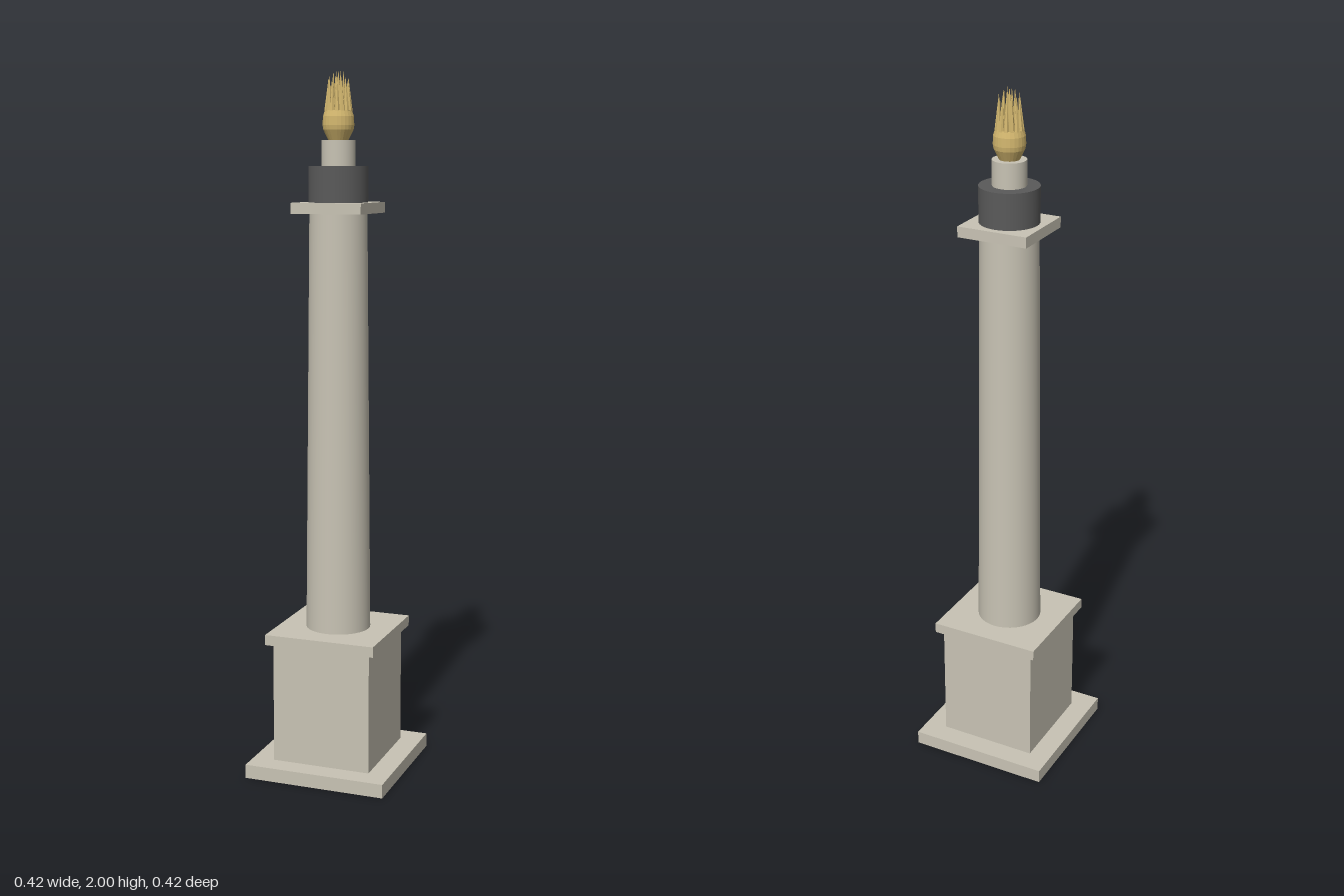
import * as THREE from 'three';

export function createModel() {
  const model = new THREE.Group();
  model.name = 'monumentColumn';

  const material = (name, color, flatShading = false) => {
    const m = new THREE.MeshStandardMaterial({ color, flatShading });
    m.name = name;
    return m;
  };
  const stone = material('pale stone', 0xc8c3b4);
  const dark = material('dark metal', 0x5a5a5a);
  const gold = material('gilded bronze', 0xd2b66e, true);

  const add = (name, geometry, mat, y = 0, parent = model) => {
    const mesh = new THREE.Mesh(geometry, mat);
    mesh.name = name;
    mesh.position.y = y;
    parent.add(mesh);
    return mesh;
  };
  const slab = (name, width, y0, y1) =>
    add(name, new THREE.BoxGeometry(width, y1 - y0, width), stone, (y0 + y1) / 2);
  const drum = (name, rTop, rBottom, y0, y1, mat) =>
    add(name, new THREE.CylinderGeometry(rTop, rBottom, y1 - y0, 48), mat, (y0 + y1) / 2);

  // Square pedestal
  slab('plinth', 0.416, 0, 0.04);
  slab('pedestal', 0.29, 0.04, 0.39);
  slab('pedestalCornice', 0.326, 0.39, 0.42);

  // Tapered shaft, capital and lantern drum
  drum('shaft', 0.081, 0.093, 0.42, 1.61, stone);
  slab('capital', 0.205, 1.61, 1.64);
  drum('darkDrum', 0.083, 0.083, 1.64, 1.74, dark);
  drum('neck', 0.047, 0.047, 1.74, 1.81, stone);

  // Gilded urn
  const profile = [
    [0, 1.81], [0.028, 1.81], [0.042, 1.838], [0.044, 1.85],
    [0.043, 1.874], [0.038, 1.89], [0, 1.892],
  ].map(([r, y]) => new THREE.Vector2(r, y));
  add('urn', new THREE.LatheGeometry(profile, 24), gold);

  // Rings of thin flame spikes, leaning slightly inwards
  const flames = new THREE.Group();
  flames.name = 'flames';
  model.add(flames);
  const rings = [
    { count: 14, radius: 0.032, height: 0.085, width: 0.008, lean: 0.05 },
    { count: 8, radius: 0.018, height: 0.1, width: 0.009, lean: 0.03 },
    { count: 1, radius: 0, height: 0.112, width: 0.011, lean: 0 },
  ];
  for (const { count, radius, height, width, lean } of rings) {
    for (let i = 0; i < count; i++) {
      const h = height + (i % 2 ? 0.01 : 0) * (count > 1 ? 1 : 0);
      const pivot = new THREE.Group();
      pivot.name = 'flamePivot';
      pivot.rotation.y = (i / count) * Math.PI * 2;
      flames.add(pivot);
      const spike = add('flameSpike', new THREE.ConeGeometry(width, h, 6).translate(0, h / 2, 0), gold, 1.888, pivot);
      spike.position.x = radius;
      spike.rotation.z = lean;
    }
  }
  return model;
}
